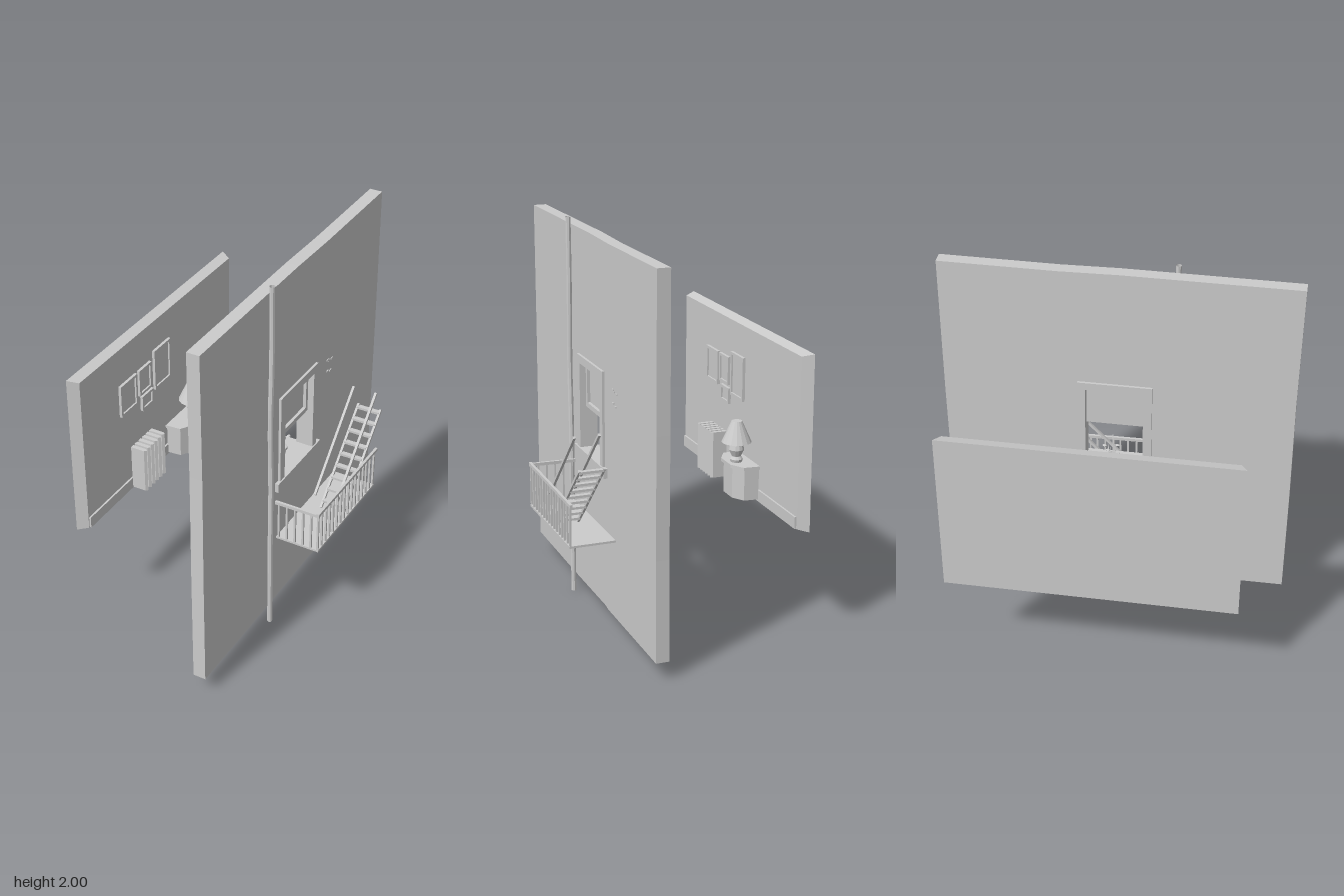
import * as THREE from 'three';

const mat = new THREE.MeshStandardMaterial({ color: 0xcccccc, flatShading: true, side: THREE.DoubleSide });

export function createModel() {
  const root = new THREE.Group();

  const group = (name, parent = root) => {
    const g = new THREE.Group();
    g.name = name;
    parent.add(g);
    return g;
  };
  const add = (parent, name, geo, x = 0, y = 0, z = 0) => {
    const m = new THREE.Mesh(geo, mat);
    m.name = name;
    m.position.set(x, y, z);
    parent.add(m);
    return m;
  };
  // box given by its extents
  const box = (parent, name, x0, x1, y0, y1, z0, z1) =>
    add(parent, name, new THREE.BoxGeometry(x1 - x0, y1 - y0, z1 - z0),
      (x0 + x1) / 2, (y0 + y1) / 2, (z0 + z1) / 2);
  // square bar between two points
  const bar = (parent, name, a, b, w = 0.012, h = w) => {
    const p = new THREE.Vector3(...a), q = new THREE.Vector3(...b);
    const m = add(parent, name, new THREE.BoxGeometry(w, h, p.distanceTo(q)));
    m.position.copy(p).add(q).multiplyScalar(0.5);
    m.lookAt(q);
    return m;
  };
  // rectangular path in the z-y plane, and a panel extruded along x
  const rect = (P, z0, z1, y0, y1) => {
    const p = new P();
    p.moveTo(-z0, y0);
    p.lineTo(-z1, y0);
    p.lineTo(-z1, y1);
    p.lineTo(-z0, y1);
    p.closePath();
    return p;
  };
  const panel = (parent, name, shape, x0, x1) => {
    const geo = new THREE.ExtrudeGeometry(shape, { depth: x1 - x0, bevelEnabled: false });
    geo.rotateY(Math.PI / 2);
    return add(parent, name, geo, x0);
  };
  const frame = (parent, name, x0, x1, outer, inner) => {
    const s = rect(THREE.Shape, ...outer);
    s.holes.push(rect(THREE.Path, ...inner));
    return panel(parent, name, s, x0, x1);
  };

  // Outer wall with a slightly uneven outline and the window opening
  const opening = [-0.17, 0.13, 0.84, 1.283];
  const outline = new THREE.Shape([
    [-0.905, 0.1], [-0.3, 0.096], [0.2, 0.099], [0.24, 0.092], [0.905, 0.09],
    [0.9, 0.6], [0.905, 1.2], [0.905, 1.963], [0.3, 1.96], [0, 1.966], [-0.905, 1.963],
    [-0.9, 1.3], [-0.905, 0.7],
  ].map(p => new THREE.Vector2(...p)));
  outline.holes.push(rect(THREE.Path, ...opening));
  panel(root, 'outerWall', outline, 0.225, 0.292);

  // Chipped brick marks
  const chips = group('wallChips');
  [[-0.34, 1.267], [-0.35, 1.26], [-0.385, 1.255], [-0.34, 1.2], [-0.37, 1.19]].forEach(([z, y]) =>
    box(chips, 'chip', 0.285, 0.297, y - 0.004, y + 0.004, z - 0.009, z + 0.009));

  // Drain pipe
  const pipePath = new THREE.CatmullRomCurve3(
    [[2, 0.282], [1.6, 0.277], [1.25, 0.285], [0.9, 0.272], [0.5, 0.272], [0, 0.268]]
      .map(([y, z]) => new THREE.Vector3(0.305, y, z)));
  add(root, 'drainPipe', new THREE.TubeGeometry(pipePath, 12, 0.014, 8));

  // Window: casing on both sides, sashes, blind and sills
  const win = group('window');
  const casing = [-0.21, 0.175, 0.83, 1.325];
  frame(win, 'innerCasing', 0.212, 0.226, casing, opening);
  frame(win, 'outerCasing', 0.29, 0.305, casing, opening);
  frame(win, 'upperSash', 0.255, 0.272, [-0.17, 0.13, 1.055, 1.283], [-0.15, 0.11, 1.08, 1.265]);
  box(win, 'blind', 0.246, 0.256, 1.065, 1.283, -0.168, 0.128);
  box(win, 'innerSill', 0.14, 0.24, 0.795, 0.838, -0.19, 0.145);
  box(win, 'outerSill', 0.225, 0.312, 0.79, 0.84, -0.245, 0.205);

  // Potted plant on the sill
  const plant = group('pottedPlant');
  plant.position.set(0.195, 0.838, -0.025);
  const pot = [[0, 0], [0.025, 0], [0.033, 0.045], [0.039, 0.045], [0.04, 0.06], [0.034, 0.06], [0.032, 0.05], [0, 0.05]];
  add(plant, 'pot', new THREE.LatheGeometry(pot.map(p => new THREE.Vector2(...p)), 10));
  bar(plant, 'stem', [0, 0.05, 0], [0.008, 0.18, 0.005], 0.006);
  [[0.025, 0.1, -0.045], [-0.02, 0.09, 0.03], [0.01, 0.12, 0.025], [-0.025, 0.11, -0.02]].forEach(p => {
    bar(plant, 'leafStalk', [0, 0.05, 0], p, 0.004);
    const leaf = add(plant, 'leaf', new THREE.SphereGeometry(0.012, 6, 4), ...p);
    leaf.scale.set(0.8, 0.35, 1.1);
  });

  // Fire escape landing with railings on the long side and the front end
  const escape = group('fireEscape');
  box(escape, 'landing', 0.313, 0.55, 0.52, 0.531, -0.418, 0.225);
  bar(escape, 'sideRail', [0.545, 0.75, 0.228], [0.545, 0.742, -0.44], 0.014, 0.016);
  bar(escape, 'endRail', [0.305, 0.742, 0.222], [0.552, 0.745, 0.222], 0.014, 0.016);
  for (let i = 0; i <= 15; i++) {
    const z = 0.218 - i * 0.042;
    bar(escape, 'sideBaluster', [0.543, 0.525, z], [0.543, 0.745, z + 0.004 * Math.sin(i * 2)], 0.01);
  }
  for (let i = 0; i < 5; i++) {
    const x = 0.325 + i * 0.045;
    bar(escape, 'endBaluster', [x, 0.525, 0.22], [x, 0.745, 0.22], 0.01);
  }

  // Steep stair: stringers, handrails and treads
  const stair = group('stair', escape);
  for (const x of [0.4, 0.525]) {
    bar(stair, 'stringer', [x, 0.53, -0.1], [x, 0.94, -0.51], 0.012, 0.014);
    bar(stair, 'handrail', [x, 0.66, -0.025], [x, 1.085, -0.44], 0.013);
  }
  for (let i = 0; i < 9; i++) {
    const z = -0.13 - i * 0.046, y = 0.43 - z;
    box(stair, 'tread', 0.4, 0.525, y - 0.006, y + 0.006, z - 0.013, z + 0.013);
  }

  // Room wall: its inner face is smaller than its back face
  const roomGeo = new THREE.BoxGeometry(0.055, 0.89, 1.48);
  const pos = roomGeo.attributes.position;
  for (let i = 0; i < pos.count; i++) {
    if (pos.getX(i) > 0) {
      pos.setY(i, pos.getY(i) - Math.sign(pos.getY(i)) * 0.013);
      pos.setZ(i, pos.getZ(i) - Math.sign(pos.getZ(i)) * 0.03);
    }
  }
  roomGeo.computeVertexNormals();
  const room = group('room');
  add(room, 'roomWall', roomGeo, -0.5325, 1.02, -0.02);
  box(room, 'baseboard', -0.51, -0.495, 0.59, 0.65, -0.725, 0.685);

  // Picture frames: z range, y range
  const pictures = group('pictures', room);
  [[0.22, 0.37, 1.07, 1.25], [0.085, 0.2, 1.1, 1.25], [-0.1, 0.055, 1.06, 1.29], [0.075, 0.18, 1.0, 1.085]]
    .forEach(([z0, z1, y0, y1]) => {
      frame(pictures, 'pictureFrame', -0.507, -0.49, [z0, z1, y0, y1], [z0 + 0.014, z1 - 0.014, y0 + 0.014, y1 - 0.014]);
      box(pictures, 'picture', -0.507, -0.499, y0 + 0.01, y1 - 0.01, z0 + 0.01, z1 - 0.01);
    });

  // Radiator with pointed fins
  const radiator = group('radiator', room);
  for (let i = 0; i < 6; i++) {
    const fin = new THREE.Shape([[-0.497, 0.011], [-0.42, 0.011], [-0.409, 0], [-0.42, -0.011], [-0.497, -0.011]]
      .map(p => new THREE.Vector2(...p)));
    const geo = new THREE.ExtrudeGeometry(fin, { depth: 0.25, bevelEnabled: false });
    geo.rotateX(-Math.PI / 2);
    add(radiator, 'fin', geo, 0, 0.595, 0.112 + i * 0.0345);
  }
  for (const y of [0.63, 0.8]) box(radiator, 'connector', -0.49, -0.435, y, y + 0.025, 0.112, 0.285);

  // Side table with clipped corners
  const table = group('sideTable', room);
  const tableShape = k => new THREE.Shape(
    [[0, 0.139], [0.085, 0.131], [0.128, 0.06], [0.128, -0.06], [0.085, -0.131], [0, -0.139]]
      .map(([x, z]) => new THREE.Vector2(x * k, z * k)));
  const slab = (name, k, y0, y1) => {
    const geo = new THREE.ExtrudeGeometry(tableShape(k), { depth: y1 - y0, bevelEnabled: false });
    geo.rotateX(-Math.PI / 2);
    add(table, name, geo, -0.498, y0, -0.178);
  };
  slab('tableBody', 0.9, 0.6, 0.765);
  slab('tableTop', 1, 0.763, 0.78);

  // Table lamp
  const lamp = group('lamp', room);
  lamp.position.set(-0.42, 0.78, -0.195);
  const base = [[0, 0], [0.03, 0], [0.034, 0.015], [0.024, 0.03], [0.04, 0.065], [0.034, 0.09], [0.012, 0.11], [0.01, 0.14], [0, 0.14]];
  add(lamp, 'lampBase', new THREE.LatheGeometry(base.map(p => new THREE.Vector2(...p)), 12));
  add(lamp, 'lampShade', new THREE.CylinderGeometry(0.027, 0.077, 0.11, 16), 0, 0.16, 0);

  return root;
}
